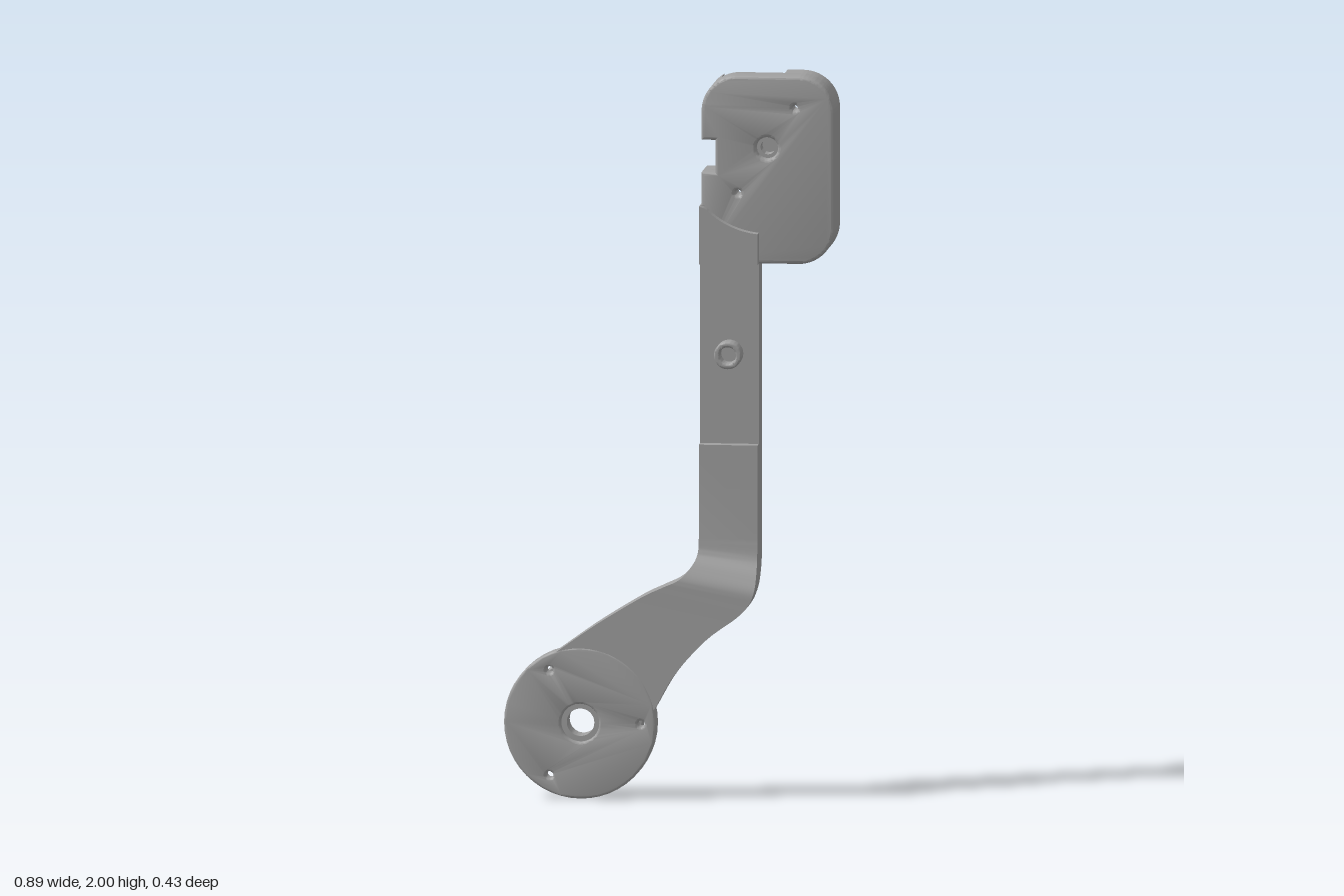
import * as THREE from 'three';
import { toCreasedNormals } from 'three/addons/utils/BufferGeometryUtils.js';

// Local frame: u along the arm's width (x), y up, n towards its front (z).
export function createModel() {
  const grey = new THREE.MeshStandardMaterial({ color: 0xa0a0a0 });
  grey.name = 'plain grey';
  const model = new THREE.Group();
  model.name = 'leverArm';

  const add = (name, geometry) => {
    const mesh = new THREE.Mesh(toCreasedNormals(geometry, 0.6), grey);
    mesh.name = name;
    model.add(mesh);
  };

  // Flat plate between depths n0 and n1, edges optionally rounded
  const plate = (name, shape, n0, n1, bevel = 0) => {
    const g = new THREE.ExtrudeGeometry(shape, {
      depth: n1 - n0 - 2 * bevel, curveSegments: 24, bevelEnabled: bevel > 0,
      bevelThickness: bevel, bevelSize: bevel, bevelOffset: -bevel, bevelSegments: 3,
    });
    g.translate(0, 0, n0 + bevel);
    add(name, g);
  };

  const disc = (u, y, r) => new THREE.Shape().absarc(u, y, r, 0, Math.PI * 2);
  const polygon = (pts) => new THREE.Shape(pts.map(([u, y]) => new THREE.Vector2(u, y)));
  const drill = (shape, holes) => {
    for (const [u, y, r] of holes) shape.holes.push(new THREE.Path().absarc(u, y, r, 0, Math.PI * 2, true));
    return shape;
  };
  const ring = (u, y, r, hole) => drill(disc(u, y, r), [[u, y, hole]]);

  // ---- Channel arm, lofted from U sections that bend sideways and forwards ----
  const V = (a) => new THREE.Vector3(...a);
  const leftPath = new THREE.CatmullRomCurve3([          // u, y, front depth
    [0.064, 0.72, 0.031], [0.062, 0.68, 0.038], [0.05, 0.65, 0.062], [0.017, 0.612, 0.082],
    [-0.035, 0.587, 0.084], [-0.09, 0.56, 0.084], [-0.204, 0.49, 0.084],
    [-0.297, 0.425, 0.084], [-0.355, 0.383, 0.084],
  ].map(V), false, 'catmullrom');
  const rightPath = new THREE.CatmullRomCurve3([         // u, y, back depth
    [0.226, 0.72, -0.078], [0.226, 0.665, -0.072], [0.226, 0.62, -0.045], [0.222, 0.58, -0.015],
    [0.205, 0.54, 0], [0.17, 0.505, 0], [0.09, 0.445, 0.005],
    [0.005, 0.35, 0.02], [-0.053, 0.25, 0.036],
  ].map(V), false, 'catmullrom');

  const stations = [[1.6, -0.002], [0.98, -0.002], [0.98, 0.031]]
    .map(([y, front]) => [V([0.064, y, front]), V([0.226, y, -0.078])]);
  for (let i = 0; i <= 40; i++) stations.push([leftPath.getPoint(i / 40), rightPath.getPoint(i / 40)]);

  const flange = 0.048;
  const sections = stations.map(([l, r]) => {
    const front = l.z, back = r.z, floor = Math.min(back + 0.04, 0.045);
    const w = flange / Math.hypot(r.x - l.x, r.y - l.y);
    const at = (t, n) => [l.x + (r.x - l.x) * t, l.y + (r.y - l.y) * t, n];
    return [at(0, front), at(1, front), at(1, back), at(1 - w, back),
      at(1 - w, floor), at(w, floor), at(w, back), at(0, back)];
  });
  const verts = [];
  for (let i = 0; i + 1 < sections.length; i++) {
    for (let k = 0; k < 8; k++) {
      const a = sections[i][k], b = sections[i][(k + 1) % 8];
      const d = sections[i + 1][k], c = sections[i + 1][(k + 1) % 8];
      verts.push(...a, ...d, ...c, ...a, ...c, ...b);
    }
  }
  const armGeometry = new THREE.BufferGeometry();
  armGeometry.setAttribute('position', new THREE.Float32BufferAttribute(verts, 3));
  armGeometry.computeVertexNormals();
  add('channelArm', armGeometry);

  // ---- Round pivot end ----
  const pu = -0.258, py = 0.21;
  const screwHoles = [0, 1, 2].map((i) => {
    const a = (i * Math.PI * 2) / 3;
    return [pu + 0.168 * Math.cos(a), py + 0.168 * Math.sin(a), 0.01];
  });
  plate('pivotPlate', drill(disc(pu, py, 0.21), [[pu, py, 0.053], ...screwHoles]), 0.03, 0.085, 0.006);
  plate('pivotBushing', ring(pu, py, 0.058, 0.038), 0.01, 0.068);
  plate('pivotHub', ring(pu, py, 0.168, 0.038), -0.002, 0.036, 0.004);

  // ---- Hollow pin on the arm front, with its bore seen behind ----
  plate('pin', ring(0.145, 1.23, 0.038, 0.023), -0.01, 0.046, 0.005);
  plate('pinBore', ring(0.145, 1.23, 0.027, 0.018), -0.045, -0.03);

  // ---- Head: front slab ----
  const q = Math.PI / 2;
  const head = new THREE.Shape();
  head.moveTo(0.067, 1.48);
  head.lineTo(0.334, 1.48);
  head.absarc(0.334, 1.58, 0.1, -q, 0);
  head.absarc(0.334, 1.9, 0.1, 0, q);
  head.absarc(0.167, 1.9, 0.1, q, 2 * q);
  for (const [u, y] of [[0.067, 1.82], [0.105, 1.82], [0.105, 1.73], [0.067, 1.73]]) head.lineTo(u, y);
  drill(head, [[0.248, 1.8, 0.03], [0.325, 1.912, 0.008], [0.168, 1.675, 0.008]]);
  plate('headFront', head, -0.08, 0, 0.009);
  plate('headBushing', ring(0.248, 1.8, 0.036, 0.02), -0.07, -0.025);

  // Rim wall around the bottom, outer side and part of the top
  const rim = new THREE.Shape();
  rim.moveTo(0.176, 1.48);
  rim.lineTo(0.334, 1.48);
  rim.absarc(0.334, 1.58, 0.1, -q, 0);
  rim.absarc(0.334, 1.9, 0.1, 0, q);
  for (const [u, y] of [[0.29, 2], [0.29, 1.96], [0.362, 1.96], [0.362, 1.6], [0.3, 1.53], [0.176, 1.53]]) rim.lineTo(u, y);
  plate('headRim', rim, -0.133, -0.015);

  // Recessed mounting plate with four holes
  const cover = polygon([[0.112, 1.63], [0.365, 1.63], [0.365, 1.965], [0.112, 1.965]]);
  for (const u of [0.172, 0.318]) for (const y of [1.672, 1.912]) drill(cover, [[u, y, 0.015]]);
  plate('mountingPlate', cover, -0.105, -0.07);

  // Two clips on the inner side, either side of the notch
  const upperClip = new THREE.Shape();
  upperClip.moveTo(0.067, 1.82);
  upperClip.lineTo(0.115, 1.82);
  upperClip.lineTo(0.115, 1.985);
  upperClip.absarc(0.167, 1.9, 0.1, 2.12, Math.PI);
  plate('upperClip', upperClip, -0.132, -0.015);
  plate('lowerClip', polygon([[0.067, 1.63], [0.115, 1.63], [0.115, 1.73], [0.067, 1.73]]), -0.132, -0.015);
  plate('innerWall', polygon([[0.064, 1.48], [0.112, 1.48], [0.112, 1.64], [0.064, 1.64]]), -0.078, 0);

  // Raised collar with a curved top where the arm meets the head
  const collar = new THREE.Shape();
  collar.moveTo(0.064, 1.48);
  collar.lineTo(0.226, 1.48);
  collar.absarc(0.248, 1.8, 0.235, -1.665, -2.36, true);
  collar.lineTo(0.064, 1.64);
  plate('collar', collar, -0.02, 0.031);

  model.rotation.y = -Math.PI / 6;
  const root = new THREE.Group();
  root.name = 'model';
  root.add(model);
  return root;
}
